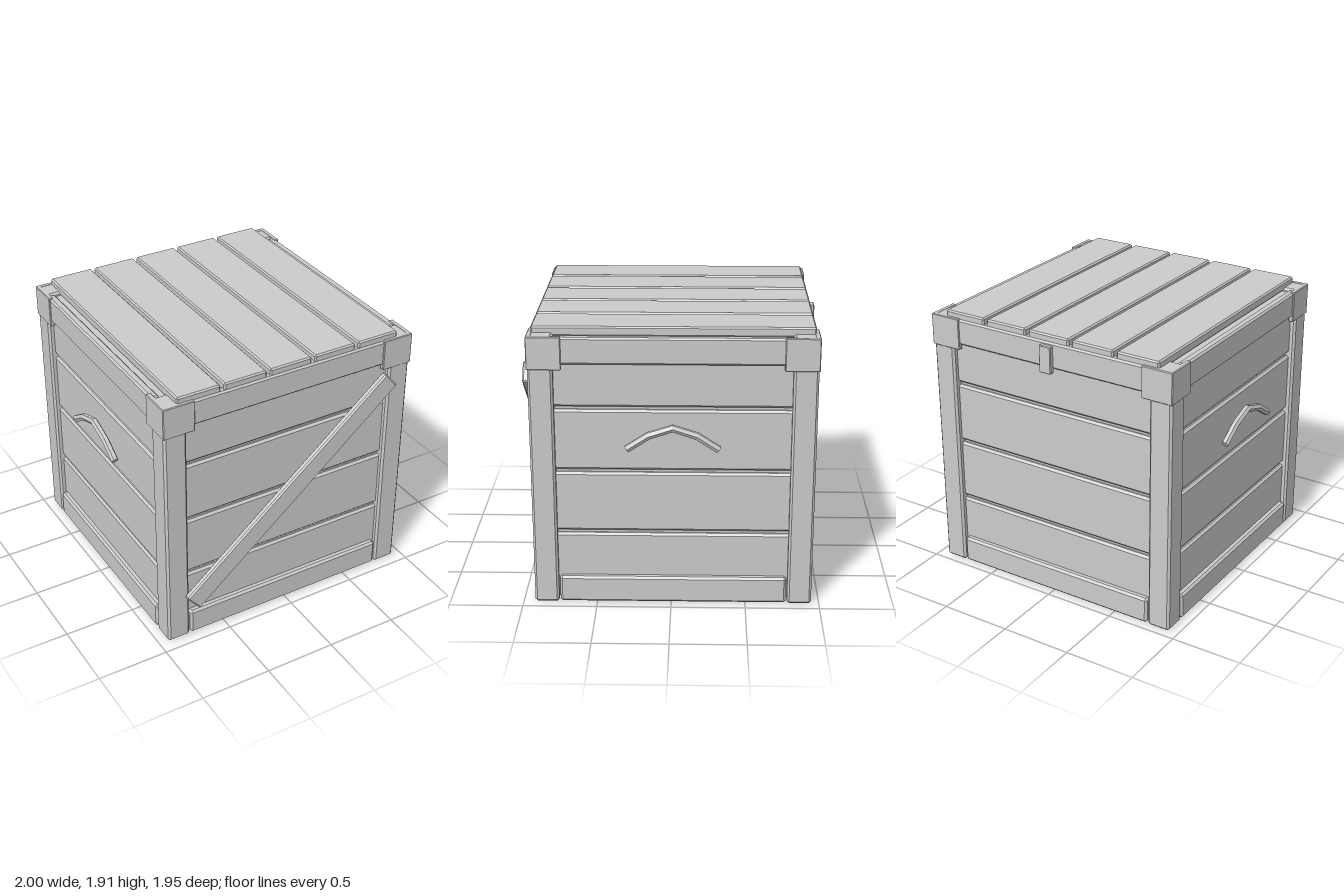
import * as THREE from 'three';
import { ConvexGeometry } from 'three/addons/geometries/ConvexGeometry.js';

const material = new THREE.MeshStandardMaterial({ color: 0xcccccc, flatShading: true, side: THREE.DoubleSide });

// Box with all edges chamfered by c
function chamferBox(w, h, d, c) {
  const pts = [];
  for (const x of [-1, 1]) for (const y of [-1, 1]) for (const z of [-1, 1]) {
    const [a, b, e] = [w / 2, h / 2, d / 2];
    pts.push(
      new THREE.Vector3(x * a, y * (b - c), z * (e - c)),
      new THREE.Vector3(x * (a - c), y * b, z * (e - c)),
      new THREE.Vector3(x * (a - c), y * (b - c), z * e));
  }
  return new ConvexGeometry(pts);
}

function add(parent, name, geometry, x = 0, y = 0, z = 0) {
  const mesh = new THREE.Mesh(geometry, material);
  mesh.name = name;
  mesh.position.set(x, y, z);
  parent.add(mesh);
  return mesh;
}

// One wall facing +z: planks, skirting board and top rail
function makeWall(name) {
  const wall = new THREE.Group();
  wall.name = name;
  for (let i = 0; i < 4; i++) {
    add(wall, 'plank', chamferBox(1.62, 0.417, 0.06, 0.015), 0, 0.286 + i * 0.4375, 0.865);
  }
  add(wall, 'skirtingBoard', chamferBox(1.525, 0.185, 0.06, 0.015), 0, 0.0975, 0.906);
  add(wall, 'topRail', chamferBox(1.54, 0.18, 0.06, 0.012), 0, 1.777, 0.9);
  return wall;
}

// Bent six-sided grip on the +x side
function makeHandle(name) {
  const handle = new THREE.Group();
  handle.name = name;
  const curve = new THREE.CatmullRomCurve3(
    [[0.3, 1.132], [0.152, 1.228], [0, 1.277], [-0.152, 1.228], [-0.3, 1.132]]
      .map(([z, y]) => new THREE.Vector3(0.974, y, z)));
  add(handle, 'grip', new THREE.TubeGeometry(curve, 4, 0.026, 6));
  for (const t of [0, 1]) {
    const p = curve.getPointAt(t);
    const cap = add(handle, 'gripEnd', new THREE.CircleGeometry(0.026, 6), p.x, p.y, p.z);
    const dir = curve.getTangentAt(t).multiplyScalar(t ? 1 : -1);
    cap.lookAt(p.clone().add(dir));
  }
  return handle;
}

export function createModel() {
  const model = new THREE.Group();
  model.name = 'woodenCrate';
  const body = new THREE.Group();
  body.name = 'crate';
  body.position.z = -0.0125;
  model.add(body);

  // Inner box closes the gaps between planks and forms the floor
  add(body, 'innerBox', new THREE.BoxGeometry(1.74, 1.82, 1.74), 0, 0.935, 0);

  // Four walls
  ['frontWall', 'leftWall', 'backWall', 'rightWall'].forEach((name, i) => {
    const wall = makeWall(name);
    wall.rotation.y = i * Math.PI / 2;
    body.add(wall);
  });

  // Corner posts with L-shaped brackets around their tops
  for (const sx of [-1, 1]) for (const sz of [-1, 1]) {
    add(body, 'cornerPost', chamferBox(0.163, 1.87, 0.163, 0.015), sx * 0.853, 0.935, sz * 0.853);
    add(body, 'cornerBracket', chamferBox(0.225, 0.22, 0.035, 0.005), sx * 0.8275, 1.762, sz * 0.9225);
    add(body, 'cornerBracket', chamferBox(0.035, 0.22, 0.225, 0.005), sx * 0.9225, 1.762, sz * 0.8275);
  }

  // Lid slats
  for (let i = -2; i <= 2; i++) {
    add(body, 'lidSlat', chamferBox(0.312, 0.065, 1.835, 0.01), i * 0.337, 1.88, 0);
  }

  // Diagonal brace on the front
  const brace = add(body, 'diagonalBrace', chamferBox(2.0, 0.15, 0.048, 0.01), 0, 0.945, 0.961);
  brace.rotation.z = Math.atan2(1.295, 1.535);

  // Latch at the back
  add(body, 'latch', chamferBox(0.09, 0.19, 0.04, 0.005), 0, 1.752, -0.94);

  // Side handles
  body.add(makeHandle('leftHandle'));
  const rightHandle = makeHandle('rightHandle');
  rightHandle.rotation.y = Math.PI;
  body.add(rightHandle);

  return model;
}
